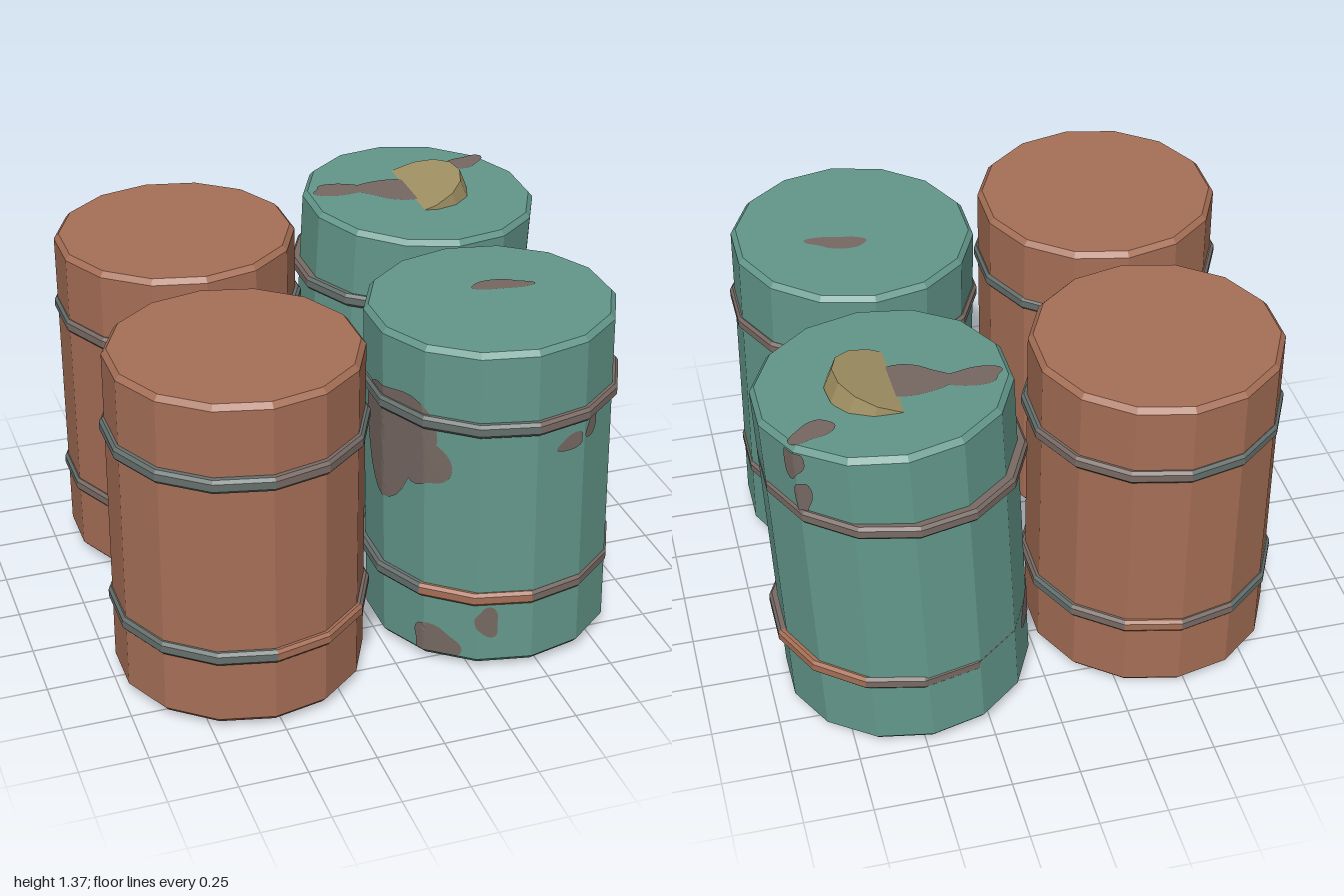
import * as THREE from 'three';

const SIDES = 14, R = 0.456, H = 1.272;
const STEP = (Math.PI * 2) / SIDES;

function makeMaterial(name, color, extra = {}) {
  const m = new THREE.MeshStandardMaterial({ color, flatShading: true, ...extra });
  m.name = name;
  return m;
}

const brown = makeMaterial('rust brown', 0xa66f56);
const green = makeMaterial('faded green', 0x63978a);
const steel = makeMaterial('hoop steel', 0x66706d);
const tarnish = makeMaterial('hoop tarnish', 0x796b65);
const grime = makeMaterial('grime', 0x766862, { side: THREE.DoubleSide });
const yellow = makeMaterial('cap yellow', 0xa09062);
const palette = { s: steel, d: tarnish, b: brown };

// Point on the many-sided wall; u runs along the girth, v is the height.
function onWall(u, v) {
  const t = u / R;
  const within = ((t % STEP) + STEP) % STEP - STEP / 2;
  const r = (R * Math.cos(STEP / 2)) / Math.cos(within) + 0.004;
  return [Math.sin(t) * r, THREE.MathUtils.clamp(v, 0.022, H - 0.022), Math.cos(t) * r];
}
const onLid = (x, z) => [x, H + 0.003, z];
const onBase = (x, z) => [x, -0.003, z];

// Wobbly oval stain laid on a surface; tilt in degrees.
function stain(body, name, place, u, v, halfWidth, halfHeight, tilt = 0) {
  const rings = 8, n = 32, pos = [], index = [];
  const a = THREE.MathUtils.degToRad(tilt), seed = u * 7 + v * 5;
  for (let k = 0; k <= rings; k++) {
    for (let i = 0; i < n; i++) {
      const t = (i / n) * Math.PI * 2;
      const r = (k / rings) * (1 + 0.12 * Math.sin(2 * t + seed) + 0.13 * Math.sin(3 * t + 2 * seed));
      const p = Math.cos(t) * r * halfWidth, q = Math.sin(t) * r * halfHeight;
      pos.push(...place(u + p * Math.cos(a) - q * Math.sin(a), v + p * Math.sin(a) + q * Math.cos(a)));
      if (k === rings) continue;
      const b = k * n + i, c = k * n + (i + 1) % n;
      index.push(b, b + n, c + n);
      if (k) index.push(b, c + n, c);
    }
  }
  const geo = new THREE.BufferGeometry();
  geo.setAttribute('position', new THREE.Float32BufferAttribute(pos, 3));
  geo.setIndex(index);
  geo.computeVertexNormals();
  const mesh = new THREE.Mesh(geo, grime);
  mesh.name = name;
  body.add(mesh);
}
const wallStain = (body, deg, y, ...size) =>
  stain(body, 'wallStain', onWall, THREE.MathUtils.degToRad(deg) * R, y - 0.024, ...size);
const lidStain = (body, ...spec) => stain(body, 'lidStain', onLid, ...spec);
const baseStain = (body, ...spec) => stain(body, 'baseStain', onBase, ...spec);

// Chamfered drum leaning from its base centre to its top centre.
function leaningBody(paint, [bx, bz], [tx, tz]) {
  const profile = [[0, 0], [R - 0.018, 0], [R, 0.02], [R, H - 0.02], [R - 0.018, H], [0, H]];
  const shell = new THREE.Mesh(new THREE.LatheGeometry(profile.map(p => new THREE.Vector2(...p)), SIDES), paint);
  shell.name = 'drumShell';
  const body = new THREE.Group();
  body.name = 'leaningBody';
  body.position.set(bx, 0.024, bz);
  body.quaternion.setFromUnitVectors(new THREE.Vector3(0, 1, 0), new THREE.Vector3(tx - bx, H, tz - bz).normalize());
  body.add(shell);
  return body;
}

// Level hoop built as runs of equal colour; one letter per side.
function hoop(pattern, [x, z], y) {
  const g = new THREE.Group();
  g.name = 'hoop';
  g.position.set(x, y, z);
  const profile = [[0.43, -0.026], [0.463, -0.026], [0.473, -0.014], [0.473, 0.014], [0.463, 0.026], [0.43, 0.026]]
    .map(p => new THREE.Vector2(...p));
  for (let i = 0; i < SIDES;) {
    let n = 1;
    while (i + n < SIDES && pattern[i + n] === pattern[i]) n++;
    const section = new THREE.Mesh(new THREE.LatheGeometry(profile, n, i * STEP, n * STEP), palette[pattern[i]]);
    section.name = 'hoopSection';
    g.add(section);
    i += n;
  }
  return g;
}

// Adds one drum with its two hoops and returns the leaning body.
function addDrum(model, name, paint, base, top, hoopCentre, lowHoop, highHoop) {
  const drum = new THREE.Group();
  drum.name = name;
  const body = leaningBody(paint, base, top);
  drum.add(body, hoop(lowHoop, hoopCentre, 0.312), hoop(highHoop, hoopCentre, 1.008));
  model.add(drum);
  return body;
}

export function createModel() {
  const model = new THREE.Group();
  model.name = 'drumCluster';

  // Plain brown drums
  addDrum(model, 'frontRightDrum', brown, [-0.53, 0.52], [-0.52, 0.507], [-0.525, 0.52], 'bbddssssddssss', 'ddsssssdddssss');
  addDrum(model, 'backRightDrum', brown, [-0.468, -0.46], [-0.47, -0.463], [-0.465, -0.46], 'ssddsdbdsssdds', 'ddssdddssssddd');

  // Stained green drums
  const front = addDrum(model, 'frontLeftDrum', green, [0.463, 0.472], [0.447, 0.452], [0.45, 0.463], 'dddddddddsssbb', 'ddddddddddssss');
  wallStain(front, -73, 0.88, 0.19, 0.23);
  wallStain(front, -52, 0.84, 0.09, 0.11);
  wallStain(front, 18, 0.9, 0.06, 0.028, 8);
  wallStain(front, 31, 0.935, 0.05, 0.032, 45);
  wallStain(front, -21, 0.205, 0.045, 0.06, 20);
  wallStain(front, -46, 0.085, 0.1, 0.07);
  wallStain(front, 150, 1.08, 0.08, 0.035);
  wallStain(front, 162, 0.11, 0.13, 0.075, 20);
  lidStain(front, 0.07, -0.075, 0.11, 0.04, 8);

  const back = addDrum(model, 'backLeftDrum', green, [0.478, -0.542], [0.53, -0.5], [0.503, -0.522], 'ddddbbddddssss', 'dddddddddddsss');
  wallStain(back, 44, 0.665, 0.07, 0.055);
  wallStain(back, 59, 0.6, 0.085, 0.032, -25);
  wallStain(back, 127, 1.23, 0.045, 0.07);
  wallStain(back, 131, 1.09, 0.035, 0.07);
  wallStain(back, -80, 0.48, 0.13, 0.28);
  wallStain(back, -99, 0.3, 0.13, 0.08, 25);
  lidStain(back, -0.3, -0.075, 0.12, 0.05, 8);
  lidStain(back, -0.1, -0.035, 0.14, 0.085, 10);
  lidStain(back, 0.28, -0.22, 0.08, 0.05, -30);
  baseStain(back, 0.1, -0.14, 0.17, 0.08, -20);
  baseStain(back, -0.1, -0.2, 0.15, 0.08, 60);

  // Tilted cap, half sunk into the back left lid
  const cap = new THREE.Mesh(new THREE.CylinderGeometry(0.19, 0.195, 0.08, SIDES), yellow);
  cap.name = 'tiltedCap';
  cap.position.set(0.533, 1.268, -0.518);
  cap.rotation.set(0, 0.1, 0.34);
  model.add(cap);

  return model;
}
